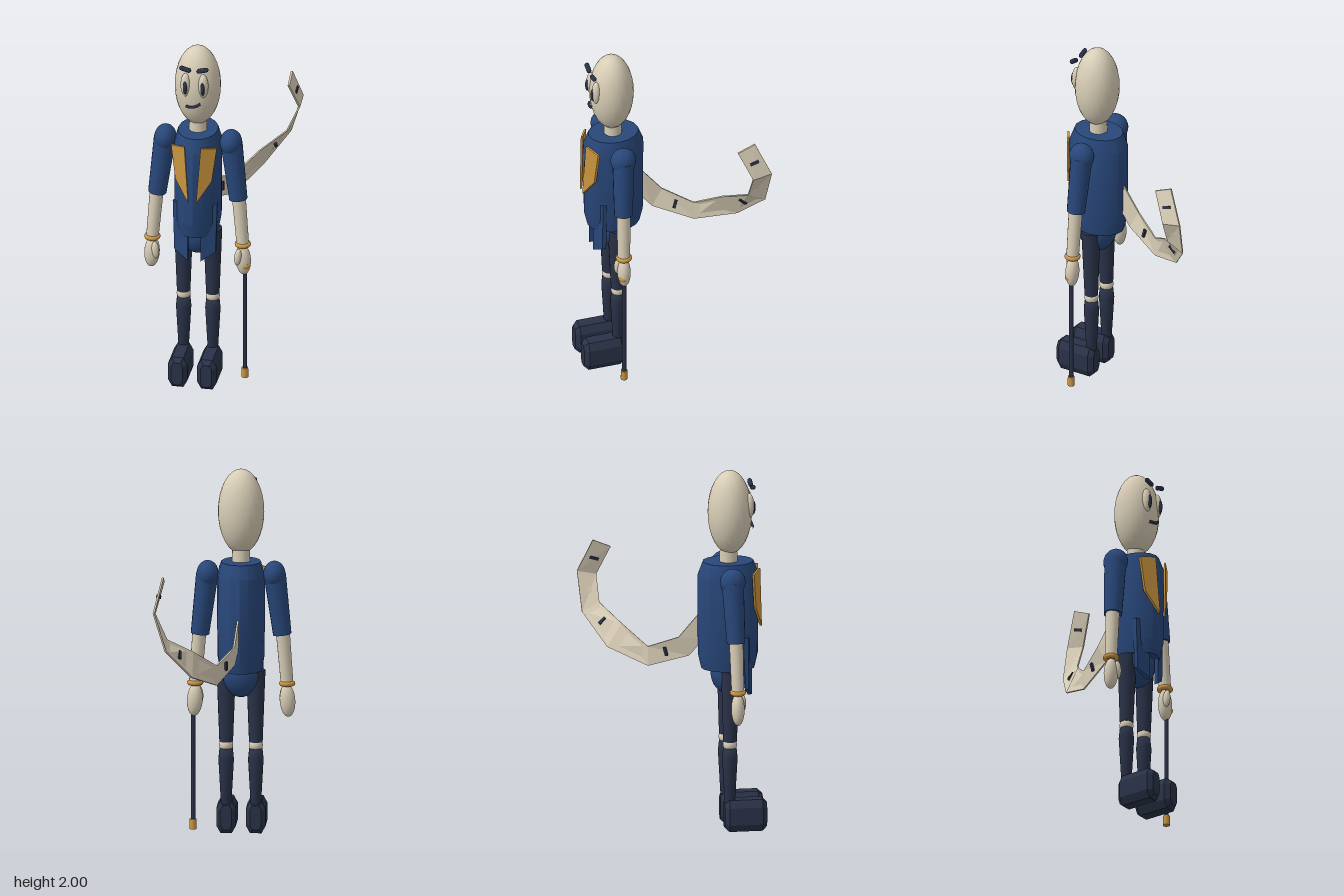
import * as THREE from 'three';
import { toCreasedNormals } from 'three/addons/utils/BufferGeometryUtils.js';

const mat = (name, color) => {
  const m = new THREE.MeshStandardMaterial({ color });
  m.name = name;
  return m;
};

export function createModel() {
  const cream = mat('cream', 0xd8cdb6);
  const blue = mat('blue', 0x28477a);
  const dark = mat('darkNavy', 0x2a3248);
  const gold = mat('gold', 0xcb953f);

  const root = new THREE.Group();
  root.name = 'figure';
  const body = new THREE.Group();
  body.name = 'body';
  body.position.x = -0.07;
  root.add(body);

  const V = (x, y, z) => new THREE.Vector3(x, y, z);
  const add = (name, geo, material, pos = [0, 0, 0], parent = body) => {
    const m = new THREE.Mesh(geo, material);
    m.name = name;
    m.position.set(...pos);
    parent.add(m);
    return m;
  };
  const ball = (name, material, pos, rx, ry, rz, parent = body) =>
    add(name, new THREE.SphereGeometry(1, 24, 16).scale(rx, ry, rz), material, pos, parent);
  // tapered cylinder from point a to point b
  const limb = (name, material, a, b, ra, rb, parent = body, sides = 16) => {
    const p = V(...a), q = V(...b), dir = q.clone().sub(p);
    const g = new THREE.CylinderGeometry(rb, ra, dir.length(), sides);
    const m = add(name, g, material, p.clone().lerp(q, 0.5).toArray(), parent);
    m.quaternion.setFromUnitVectors(V(0, 1, 0), dir.normalize());
    return m;
  };
  const lathe = (pts, sides) =>
    new THREE.LatheGeometry(pts.map(([r, y]) => new THREE.Vector2(r, y)), sides);
  // flat plate cut from an outline, its depth following a rule of x
  const plate = (name, material, outline, depth, zRule) => {
    const shape = new THREE.Shape(outline.map(([x, y]) => new THREE.Vector2(x, y)));
    const g = new THREE.ExtrudeGeometry(shape, { depth, bevelEnabled: false });
    const p = g.attributes.position;
    for (let i = 0; i < p.count; i++) p.setZ(i, p.getZ(i) - depth + zRule(Math.abs(p.getX(i))));
    g.computeVertexNormals();
    return add(name, g, material);
  };

  // head and neck
  ball('head', cream, [0, 1.768, 0.29], 0.125, 0.232, 0.12);
  add('neck', new THREE.CylinderGeometry(0.047, 0.05, 0.1, 20), cream, [0, 1.52, 0.283]);

  // torso: faceted barrel, oval in plan
  const torso = lathe([[0, 0.9], [0.87, 0.9], [0.98, 0.98], [1, 1.42], [0.83, 1.495], [0, 1.495]], 16);
  torso.scale(0.13, 1, 0.167);
  add('torso', toCreasedNormals(torso, 0.5), blue, [0, 0, 0.28]);
  ball('pelvis', blue, [0, 0.875, 0.285], 0.11, 0.125, 0.1);

  // mouth: a short wavy tube
  const mouth = new THREE.CatmullRomCurve3([
    V(-0.042, 1.686, 0.402), V(-0.02, 1.686, 0.41), V(0.008, 1.692, 0.411), V(0.036, 1.708, 0.405)]);
  add('mouth', new THREE.TubeGeometry(mouth, 12, 0.008, 8), dark);

  for (const s of [1, -1]) {
    const side = s > 0 ? 'left' : 'right';

    // eye, pupil and brow
    ball(side + 'Eye', cream, [s * 0.048, 1.81, 0.39], 0.028, 0.07, 0.026);
    ball(side + 'Pupil', dark, [s * 0.048, 1.802, 0.41], 0.012, 0.04, 0.014);
    const brow = add(side + 'Brow', new THREE.CapsuleGeometry(0.013, 0.04, 4, 10), dark,
      [s * 0.048, 1.914, 0.408]);
    brow.rotation.z = Math.PI / 2 + s * 0.28;

    // lapel and front coat tail
    plate(side + 'Lapel', gold,
      [[s * 0.045, 1.46], [s * 0.125, 1.445], [s * 0.1, 1.25], [s * 0.022, 1.13]],
      0.012, (x) => 0.462 - 0.55 * (x - 0.022));
    plate(side + 'CoatTail', blue,
      [[s * 0.035, 1.08], [s * 0.122, 1.09], [s * 0.113, 0.8], [s * 0.035, 0.75]],
      0.022, (x) => 0.405 - 0.35 * (x - 0.035));

    // leg
    const lx = s * 0.08;
    limb(side + 'Thigh', dark, [lx, 0.505, 0.28], [lx, 0.9, 0.283], 0.037, 0.052);
    ball(side + 'Knee', cream, [lx, 0.487, 0.279], 0.038, 0.04, 0.038);
    add(side + 'Shin', lathe([[0, 0.47], [0.036, 0.47], [0.042, 0.41], [0.028, 0.16], [0, 0.16]].reverse(), 16),
      dark, [lx, 0, 0.279]);

    // shoe: eight-sided block with chamfered ends
    const shoeShape = new THREE.Shape([
      [0.025, -0.078], [0.043, -0.045], [0.043, 0.045], [0.025, 0.078],
      [-0.025, 0.078], [-0.043, 0.045], [-0.043, -0.045], [-0.025, -0.078],
    ].map(([x, y]) => new THREE.Vector2(x, y)));
    const shoe = new THREE.ExtrudeGeometry(shoeShape, {
      depth: 0.18, bevelThickness: 0.025, bevelSize: 0.022, bevelOffset: -0.012, bevelSegments: 1,
    });
    add(side + 'Shoe', shoe, dark, [lx, 0.092, 0.273]);

    // arm
    ball(side + 'Shoulder', blue, [s * 0.18, 1.425, 0.28], 0.06, 0.073, 0.07);
    limb(side + 'UpperArm', blue, [s * 0.222, 1.095, 0.292], [s * 0.183, 1.42, 0.28], 0.05, 0.06);
    limb(side + 'Forearm', cream, [s * 0.248, 0.82, 0.298], [s * 0.224, 1.12, 0.292], 0.034, 0.038);
    const cuff = add(side + 'Bracelet', new THREE.TorusGeometry(0.03, 0.014, 10, 24), gold,
      [s * 0.248, 0.824, 0.298]);
    cuff.rotation.x = Math.PI / 2;
    const hand = ball(side + 'Hand', cream, [s * 0.25, 0.73, 0.298], 0.042, 0.09, 0.036);
    hand.rotation.z = s * 0.06;
    const thumb = ball(side + 'Thumb', cream, [s * 0.226, 0.755, 0.326], 0.02, 0.05, 0.02);
    thumb.rotation.z = s * -0.1;
  }

  // cane held in the left hand
  const cane = new THREE.Group();
  cane.name = 'cane';
  cane.position.set(0.19, 0, 0.3);
  root.add(cane);
  add('caneShaft', new THREE.CylinderGeometry(0.012, 0.012, 0.64, 12), dark, [0, 0.38, 0], cane);
  add('caneTip', new THREE.CylinderGeometry(0.018, 0.019, 0.055, 12), gold, [0, 0.047, 0], cane);
  ball('caneKnob', gold, [0.004, 0.7, 0.005], 0.028, 0.025, 0.028, cane);

  // tail: segmented ribbon, each station is x, then inner y z, then outer y z
  const stations = [
    [-0.065, 1.225, 0.14, 1.06, 0.15], [-0.045, 1.07, 0.015, 0.965, 0.07],
    [0.04, 1.0, -0.14, 0.892, -0.14], [0.163, 1.1, -0.265, 0.972, -0.345],
    [0.297, 1.185, -0.367, 1.135, -0.462], [0.36, 1.327, -0.375, 1.347, -0.48],
    [0.315, 1.49, -0.303, 1.53, -0.4],
  ];
  const pos = [], idx = [], t = 0.005;
  stations.forEach(([x, iy, iz, oy, oz], k) => {
    pos.push(x - t, iy, iz, x + t, iy, iz, x + t, oy, oz, x - t, oy, oz);
    if (k === 0) return;
    for (let j = 0; j < 4; j++) {
      const a = 4 * (k - 1) + j, b = 4 * (k - 1) + (j + 1) % 4;
      idx.push(a, b, b + 4, a, b + 4, a + 4);
    }
  });
  const e = 4 * (stations.length - 1);
  idx.push(0, 2, 1, 0, 3, 2, e, e + 1, e + 2, e, e + 2, e + 3);
  const ribbon = new THREE.BufferGeometry();
  ribbon.setAttribute('position', new THREE.Float32BufferAttribute(pos, 3));
  ribbon.setIndex(idx);
  const ribbonFlat = ribbon.toNonIndexed();
  ribbonFlat.computeVertexNormals();
  const tailMat = cream;
  tailMat.side = THREE.DoubleSide;
  add('tail', ribbonFlat, tailMat, [0, 0, 0], root);

  // dark bars crossing the ribbon
  for (const k of [1, 3, 5]) {
    const [a, b] = [stations[k], stations[k + 1]];
    const inner = V(a[0], a[1], a[2]).lerp(V(b[0], b[1], b[2]), 0.5);
    const outer = V(a[0], a[3], a[4]).lerp(V(b[0], b[3], b[4]), 0.5);
    const across = inner.clone().sub(outer).normalize();
    const along = V(b[0] - a[0], (b[1] + b[3] - a[1] - a[3]) / 2, (b[2] + b[4] - a[2] - a[4]) / 2);
    const normal = across.clone().cross(along).normalize();
    along.crossVectors(normal, across);
    const bar = add('tailBar', new THREE.BoxGeometry(0.048, 0.016, 0.024), dark,
      inner.lerp(outer, 0.5).toArray(), root);
    bar.quaternion.setFromRotationMatrix(new THREE.Matrix4().makeBasis(across, along, normal));
  }

  return root;
}
